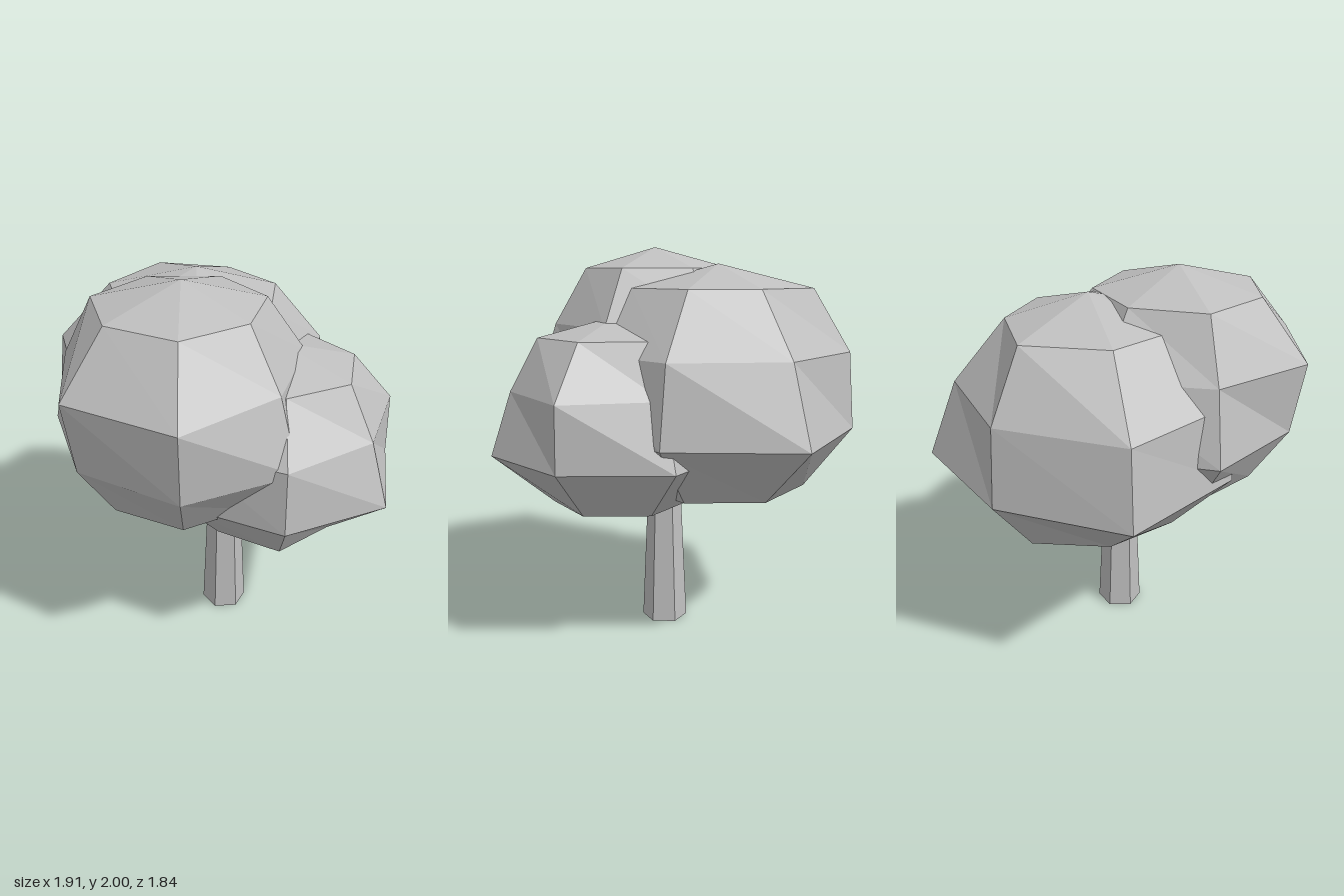
import * as THREE from 'three';

const SIDES = 7;

// Faceted clump: rings of seven corners from top to bottom, closed by a pole at each end.
// The ring heights are those of a five-step ellipsoid; each corner has its own radius.
function clumpGeometry(cx, cy, cz, height, radii) {
  const rings = [Array(SIDES).fill(0), ...radii, Array(SIDES).fill(0)];
  const last = rings.length - 1;
  const corner = (ring, k) => {
    const i = k % SIDES;
    const a = (i / SIDES) * Math.PI * 2;
    const r = rings[ring][i];
    return [
      cx + r * Math.sin(a),
      cy + height * Math.cos((ring / last) * Math.PI),
      cz - r * Math.cos(a),
    ];
  };
  const points = [];
  for (let ring = 0; ring < last; ring++) {
    for (let k = 0; k < SIDES; k++) {
      const a = corner(ring, k), b = corner(ring, k + 1);
      const c = corner(ring + 1, k), d = corner(ring + 1, k + 1);
      if (ring > 0) points.push(...a, ...b, ...c);
      if (ring < last - 1) points.push(...b, ...d, ...c);
    }
  }
  const geometry = new THREE.BufferGeometry();
  geometry.setAttribute('position', new THREE.Float32BufferAttribute(points, 3));
  geometry.computeVertexNormals();
  return geometry;
}

export function createModel() {
  const tree = new THREE.Group();
  tree.name = 'tree';
  const grey = new THREE.MeshStandardMaterial({ color: 0xbfbfbf, flatShading: true });
  grey.name = 'light grey';

  const add = (name, geometry) => {
    const mesh = new THREE.Mesh(geometry, grey);
    mesh.name = name;
    tree.add(mesh);
    return mesh;
  };

  // Tapered six-sided trunk, running up into the foliage
  add('trunk', new THREE.CylinderGeometry(0.08, 0.12, 0.9, 6)).position.set(0.05, 0.45, 0.04);

  // Corner radii start at the back and run round by the left (+x) side
  add('frontFoliage', clumpGeometry(-0.04, 1.42, 0.31, 0.58, [
    [0.41, 0.4, 0.38, 0.42, 0.41, 0.43, 0.41],
    [0.63, 0.6, 0.55, 0.68, 0.65, 0.58, 0.6],
    [0.65, 0.64, 0.66, 0.64, 0.6, 0.66, 0.64],
    [0.41, 0.41, 0.41, 0.42, 0.42, 0.43, 0.41],
  ]));
  add('leftFoliage', clumpGeometry(0.33, 1.14, 0.02, 0.515, [
    [0.38, 0.38, 0.39, 0.38, 0.38, 0.38, 0.38],
    [0.52, 0.6, 0.53, 0.59, 0.6, 0.6, 0.6],
    [0.63, 0.61, 0.635, 0.61, 0.61, 0.61, 0.61],
    [0.38, 0.37, 0.33, 0.4, 0.38, 0.38, 0.38],
  ]));
  add('backFoliage', clumpGeometry(-0.18, 1.283, -0.12, 0.628, [
    [0.39, 0.41, 0.45, 0.45, 0.45, 0.46, 0.48],
    [0.65, 0.67, 0.72, 0.72, 0.72, 0.75, 0.67],
    [0.8, 0.74, 0.74, 0.74, 0.74, 0.8, 0.7],
    [0.46, 0.45, 0.45, 0.45, 0.45, 0.41, 0.46],
  ]));

  return tree;
}
